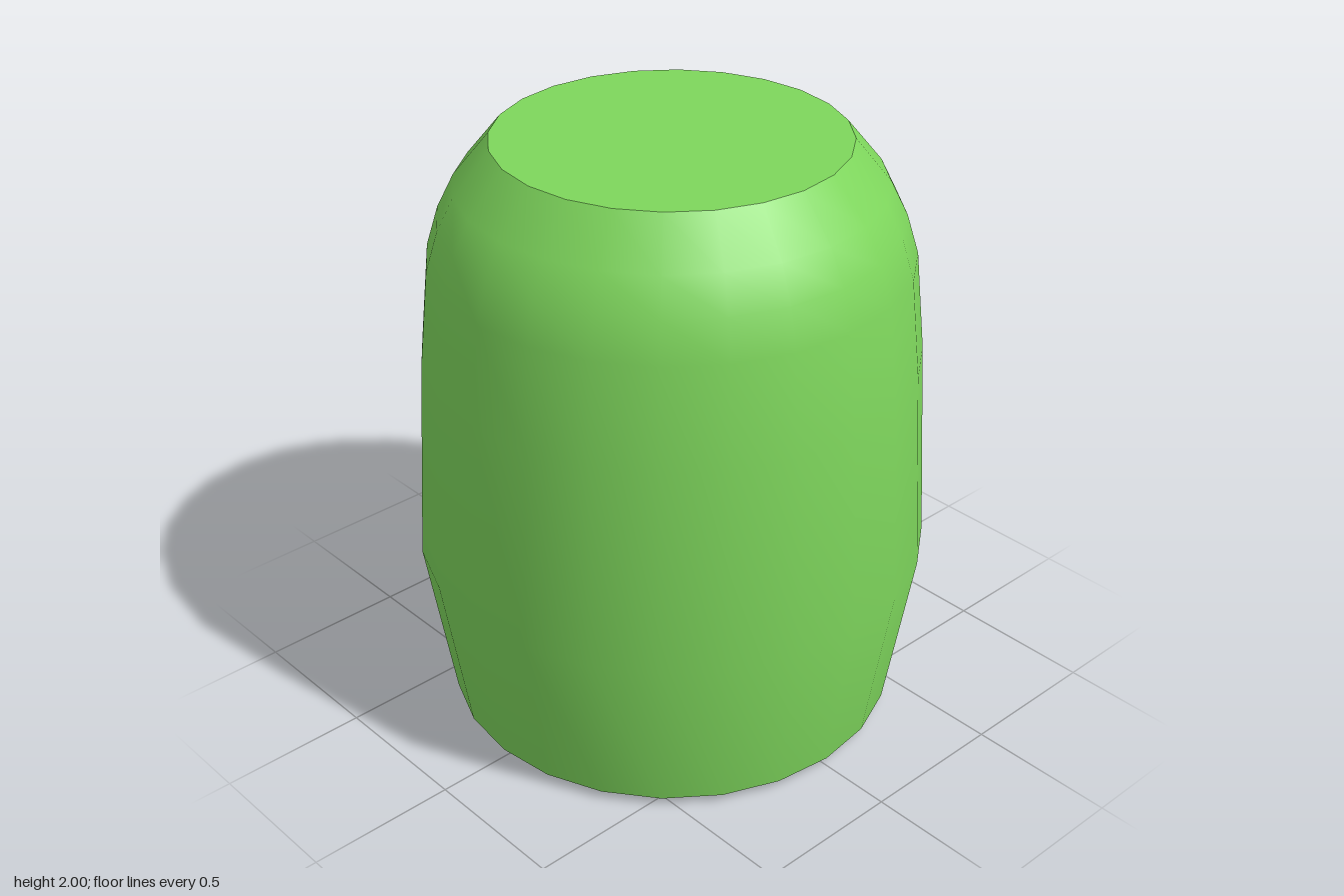
import * as THREE from 'three';

const SIDES = 24;

export function createModel() {
  const group = new THREE.Group();
  group.name = 'roundedBarrel';
  const material = new THREE.MeshStandardMaterial({ color: 0x7ed65c });

  // Each profile runs upward as [radius, height]; separate pieces keep the rims sharp
  const addLathe = (name, profile) => {
    const points = profile.map(([r, y]) => new THREE.Vector2(r, y));
    const mesh = new THREE.Mesh(new THREE.LatheGeometry(points, SIDES), material);
    mesh.name = name;
    group.add(mesh);
  };

  // Slightly dished-out underside
  addLathe('base', [[0, 0], [0.5, 0], [0.755, 0.03]]);

  // Bulging wall with rounded shoulder
  addLathe('body', [
    [0.755, 0.03], [0.845, 0.6], [0.805, 1.29], [0.77, 1.62],
    [0.73, 1.75], [0.675, 1.86], [0.56, 2],
  ]);

  // Flat top
  addLathe('top', [[0.56, 2], [0, 2]]);

  return group;
}
